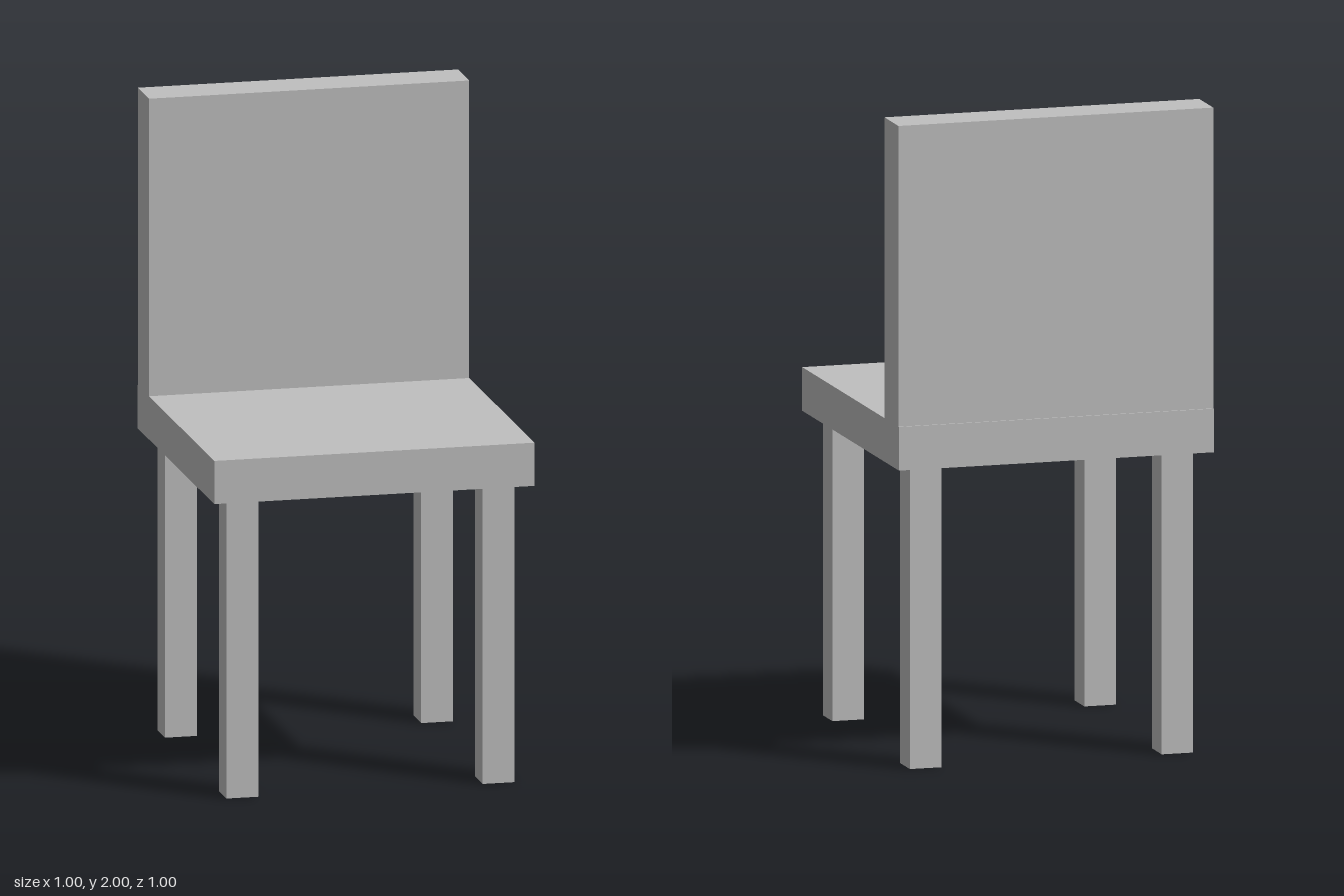
import * as THREE from 'three';

export function createModel() {
  const model = new THREE.Group();
  model.name = 'chair';
  const grey = new THREE.MeshStandardMaterial({ color: 0xc0c0c0 });
  grey.name = 'light grey';

  // Box given by its lowest and highest corners
  function box(name, [x0, y0, z0], [x1, y1, z1]) {
    const mesh = new THREE.Mesh(new THREE.BoxGeometry(x1 - x0, y1 - y0, z1 - z0), grey);
    mesh.position.set((x0 + x1) / 2, (y0 + y1) / 2, (z0 + z1) / 2);
    mesh.name = name;
    model.add(mesh);
  }

  const seatBottom = 0.935, seatTop = 1.07;

  // Square seat slab
  box('seat', [-0.5, seatBottom, -0.5], [0.5, seatTop, 0.5]);

  // Upright panel, set in slightly from the rear edge of the seat
  box('backrest', [-0.5, seatTop, -0.495], [0.5, 2, -0.35]);

  // Four square legs, inset from the corners
  const half = 0.05, inset = 0.4;
  for (const [end, z] of [['front', inset], ['back', -inset]]) {
    for (const [side, x] of [['Left', inset], ['Right', -inset]]) {
      box(`${end}${side}Leg`, [x - half, 0, z - half], [x + half, seatBottom, z + half]);
    }
  }
  return model;
}
